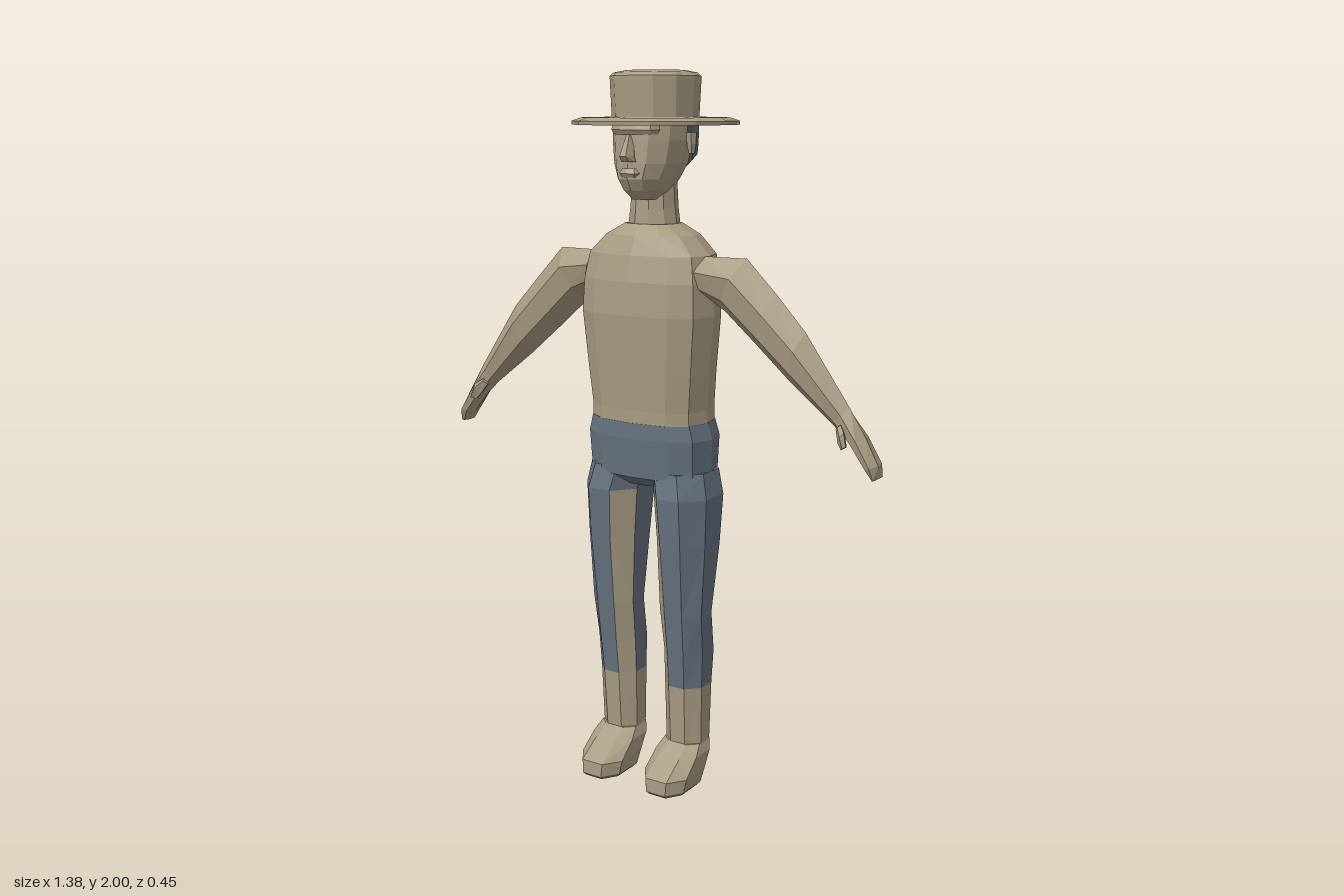
import * as THREE from 'three';

const tan = new THREE.MeshStandardMaterial({ color: 0xa89b82 });
tan.name = 'tan';
const blue = new THREE.MeshStandardMaterial({ color: 0x667280 });
blue.name = 'slate blue';
const brimTan = tan;
const mats = [tan, blue];

// Horizontal ring with half width, front and back depth; e < 1 makes it boxier
function ring(n, y, hw, zf, zb, cx = 0, e = 1, turn = 0) {
  const pw = v => Math.sign(v) * Math.pow(Math.abs(v), e);
  const zc = (zf + zb) / 2, hz = (zf - zb) / 2;
  const pts = [];
  const fit = turn ? 1 / pw(Math.cos(turn)) : 1;
  for (let k = 0; k < n; k++) {
    const a = turn + k * Math.PI * 2 / n;
    pts.push(new THREE.Vector3(cx + hw * fit * pw(Math.cos(a)), y, zc + hz * fit * pw(Math.sin(a))));
  }
  return pts;
}

// Closed faceted skin over rings; paint(section, facet) gives the material index
function loft(name, rings, paint = () => 0, mirror = 1) {
  const tris = [[], []];
  const n = rings[0].length, last = rings.length - 1;
  for (let i = 0; i < last; i++) for (let k = 0; k < n; k++) {
    const j = (k + 1) % n, A = rings[i], B = rings[i + 1];
    tris[paint(i, k)].push([A[k], B[k], B[j]], [A[k], B[j], A[j]]);
  }
  for (const [r, flip, s] of [[rings[0], 0, 0], [rings[last], 1, last - 1]]) {
    for (let k = 1; k < n - 1; k++) {
      tris[paint(s, 0)].push(flip ? [r[0], r[k + 1], r[k]] : [r[0], r[k], r[k + 1]]);
    }
  }
  // Turn all faces outward, whatever way the rings run
  let vol = 0;
  const v = new THREE.Vector3();
  tris.flat().forEach(t => { vol += v.crossVectors(t[1], t[2]).dot(t[0]); });
  const turned = vol * mirror < 0;
  const geo = new THREE.BufferGeometry(), pos = [];
  tris.forEach((list, m) => {
    if (list.length) geo.addGroup(pos.length / 3, list.length * 3, m);
    list.forEach(t => (turned ? [t[0], t[2], t[1]] : t).forEach(p => pos.push(p.x * mirror, p.y, p.z)));
  });
  geo.setAttribute('position', new THREE.Float32BufferAttribute(pos, 3));
  geo.computeVertexNormals();
  const mesh = new THREE.Mesh(geo, mats);
  mesh.name = name;
  return mesh;
}

// Arm section: six points between an upper and a lower edge point
function armRing([tx, ty, bx, by, zb, zf]) {
  const at = (t, z) => new THREE.Vector3(tx + (bx - tx) * t, ty + (by - ty) * t, z);
  const zm = (zf + zb) / 2, h = (zf - zb) / 2;
  return [at(0, zm + h * 0.25), at(0.35, zf), at(0.75, zf * 0.85), at(1, zm),
    at(0.75, zb * 0.85), at(0.3, zb)];
}

export function createModel() {
  const g = new THREE.Group();
  g.name = 'figure';

  // Torso and neck: y, half width, front, back
  const torso = [[1.06, 0.176, 0.12, -0.108], [1.1, 0.175, 0.12, -0.105], [1.2, 0.185, 0.127, -0.1],
    [1.36, 0.2, 0.138, -0.103], [1.45, 0.195, 0.133, -0.103], [1.52, 0.182, 0.118, -0.098],
    [1.57, 0.13, 0.098, -0.085], [1.6, 0.075, 0.07, -0.062]];
  g.add(loft('torso', torso.map(s => ring(12, s[0], s[1], s[2], s[3], 0, 0.75))));
  g.add(loft('neck', [[1.58, 0.075, 0.07, -0.065], [1.64, 0.066, 0.066, -0.062], [1.72, 0.06, 0.06, -0.06]]
    .map(s => ring(10, ...s))));

  // Trouser seat
  const hips = [[0.88, 0.12, 0.07, -0.07], [0.91, 0.185, 0.112, -0.108], [1.02, 0.19, 0.122, -0.115],
    [1.065, 0.177, 0.121, -0.109]];
  g.add(loft('hips', hips.map(s => ring(12, s[0], s[1], s[2], s[3], 0, 0.75)), () => 1));

  // Head
  const head = [[1.665, 0.04, 0.085, -0.03], [1.69, 0.06, 0.115, -0.05], [1.72, 0.076, 0.132, -0.075],
    [1.76, 0.094, 0.13, -0.095], [1.82, 0.104, 0.126, -0.108], [1.875, 0.106, 0.122, -0.11]];
  g.add(loft('head', head.map(s => ring(12, ...s))));
  g.add(loft('nose', [[1.765, 0.022, 0.145, 0.1], [1.78, 0.02, 0.157, 0.1], [1.835, 0.009, 0.13, 0.1]]
    .map(s => ring(6, ...s))));
  g.add(loft('lips', [[1.725, 0.026, 0.135, 0.09], [1.735, 0.034, 0.141, 0.09], [1.748, 0.026, 0.135, 0.09]]
    .map(s => ring(8, ...s))));
  g.add(loft('brow', [[1.835, 0.07, 0.126, 0.05], [1.847, 0.075, 0.133, 0.05], [1.862, 0.075, 0.127, 0.05]]
    .map(s => ring(10, ...s))));

  // Hair: cap whose lower edge drops towards the nape
  const hairRing = (hw, zb, low) => ring(16, 1.87, hw, 0.09, zb).map(p => {
    if (low) p.y = p.z > 0 ? 1.84 : Math.max(1.745, 1.84 + p.z * 1.0);
    return p;
  });
  const hairLow = hairRing(0.1, -0.103, true);
  const hairMid = hairRing(0.112, -0.12, true).map(p => p.setY(p.y + 0.03));
  g.add(loft('hair', [hairLow, hairMid, hairRing(0.113, -0.122, false)], () => 1));

  // Hat
  const hat = new THREE.Group();
  hat.name = 'hat';
  const hatPart = (name, profile) => {
    const rings = profile.map(([r, y]) => ring(12, y, r, r, -r, 0, 1, Math.PI / 2));
    rings.forEach((pts, i) => pts.forEach((p, k) => {
      const a = Math.PI / 2 + k * Math.PI / 6, r = profile[i][0];
      p.set(r * Math.cos(a), p.y, r * Math.sin(a) - 0.003);
    }));
    const m = loft(name, rings);
    m.material = brimTan;
    hat.add(m);
  };
  hatPart('brim', [[0.225, 1.859], [0.226, 1.869], [0.2, 1.878], [0.11, 1.88]]);
  hatPart('crown', [[0.117, 1.875], [0.122, 1.975], [0.122, 1.985], [0.112, 1.994], [0.08, 2.0]]);
  g.add(hat);

  // Leg: y, inner x, outer x, front, back
  const leg = [[0.93, 0.012, 0.185, 0.1, -0.1], [0.86, 0.028, 0.2, 0.113, -0.105],
    [0.72, 0.038, 0.195, 0.103, -0.088], [0.52, 0.046, 0.183, 0.083, -0.05],
    [0.4, 0.05, 0.178, 0.07, -0.076], [0.3, 0.05, 0.173, 0.06, -0.068], [0.11, 0.052, 0.168, 0.048, -0.06]];
  const legPaint = (i, k) => (i > 4 || (i > 0 && k === 2) ? 0 : 1);
  const foot = [[0.005, 0.055, 0.155, -0.012], [0.015, 0.064, 0.165, -0.02], [0.055, 0.07, 0.163, -0.036],
    [0.1, 0.068, 0.095, -0.055], [0.128, 0.058, 0.052, -0.06]];

  // Arm: upper edge x y, lower edge x y, back, front
  const arm = [[0.17, 1.52, 0.18, 1.41, -0.06, 0.08], [0.3, 1.52, 0.225, 1.375, -0.065, 0.07],
    [0.39, 1.43, 0.325, 1.29, -0.06, 0.062], [0.475, 1.34, 0.425, 1.205, -0.048, 0.056],
    [0.605, 1.155, 0.555, 1.105, -0.022, 0.034], [0.65, 1.085, 0.605, 1.06, -0.034, 0.04],
    [0.688, 1.015, 0.65, 1.005, -0.034, 0.042], [0.686, 0.98, 0.675, 0.975, -0.028, 0.03]];
  const thumb = [[0.59, 1.115, 0.575, 1.1, 0.02, 0.045], [0.608, 1.1, 0.59, 1.07, 0.035, 0.066],
    [0.618, 1.065, 0.603, 1.055, 0.045, 0.07]];

  for (const [side, s] of [['left', 1], ['right', -1]]) {
    g.add(loft(side + 'Leg', leg.map(([y, a, b, zf, zb]) =>
      ring(8, y, (b - a) / 2, zf, zb, (a + b) / 2, 1, Math.PI / 8)), legPaint, s));
    g.add(loft(side + 'Shoe', foot.map(([y, hw, zf, zb]) =>
      ring(8, y, hw, zf, zb, 0.11, 0.8, Math.PI / 8)), undefined, s));
    g.add(loft(side + 'Arm', arm.map(armRing), undefined, s));
    g.add(loft(side + 'Thumb', thumb.map(armRing), undefined, s));
    g.add(loft(side + 'Ear', [[1.785, 0.008, 0.005, -0.018], [1.81, 0.014, 0.01, -0.02],
      [1.84, 0.014, 0.014, -0.024]].map(([y, hw, zf, zb]) => ring(6, y, hw, zf, zb, 0.113)), undefined, s));
  }
  return g;
}
